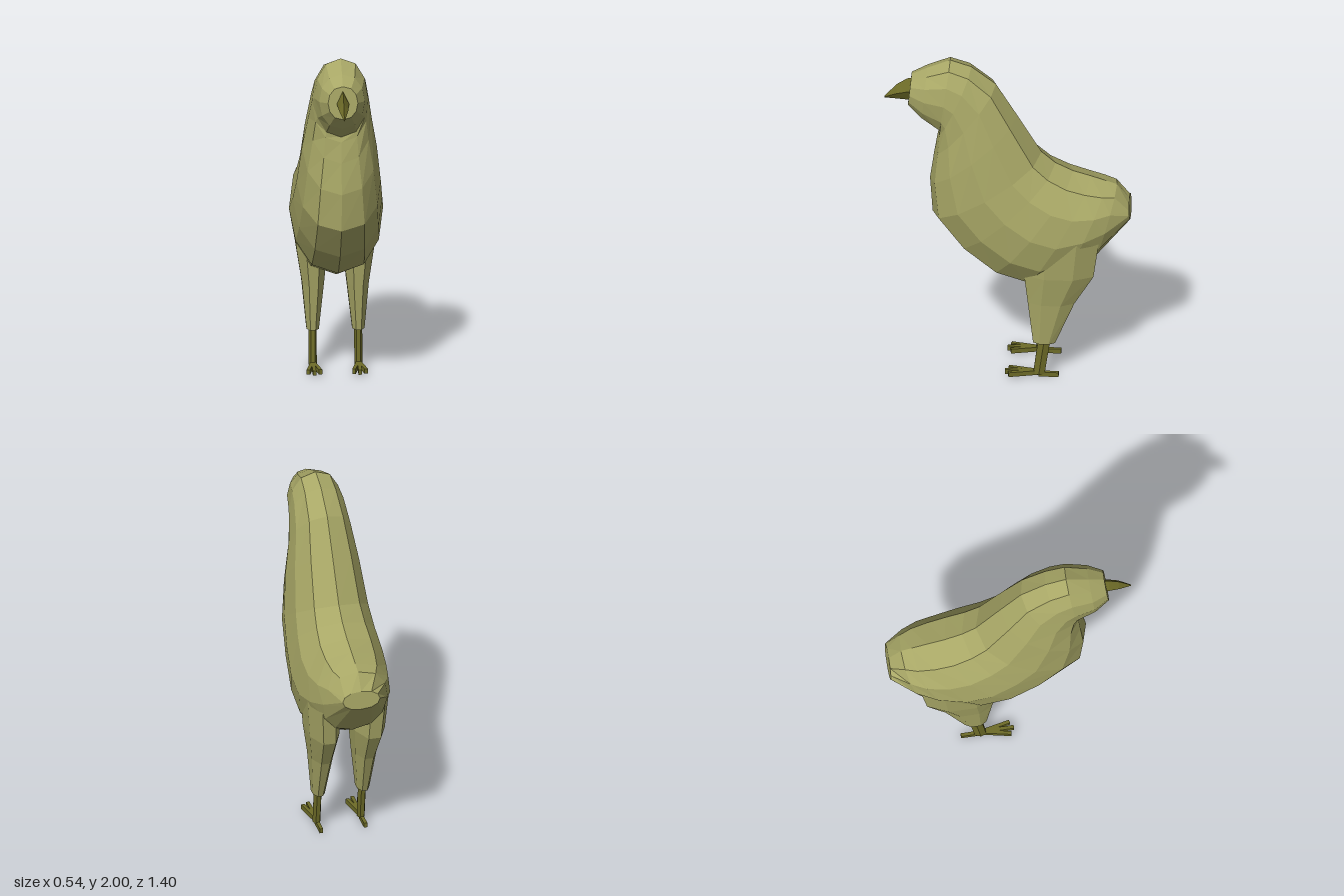
import * as THREE from 'three';

const bodyMat = new THREE.MeshStandardMaterial({ color: 0xa8a766 });
bodyMat.name = 'olive feathers';
const hornMat = new THREE.MeshStandardMaterial({ color: 0x6e6c28 });
hornMat.name = 'dark olive horn';

// Faceted skin over rings that run counterclockwise around the sweep, capped at both ends
function loft(rings) {
  const n = rings[0].length, pos = [];
  const tri = (...pts) => pts.forEach(p => pos.push(p.x, p.y, p.z));
  const centre = ring => ring.reduce((s, p) => s.add(p), new THREE.Vector3()).divideScalar(n);
  for (let i = 0; i < rings.length - 1; i++) {
    for (let k = 0; k < n; k++) {
      const j = (k + 1) % n, a = rings[i], b = rings[i + 1];
      tri(a[k], a[j], b[j]);
      tri(a[k], b[j], b[k]);
    }
  }
  const first = rings[0], last = rings[rings.length - 1];
  const c0 = centre(first), c1 = centre(last);
  for (let k = 0; k < n; k++) {
    const j = (k + 1) % n;
    tri(c0, first[j], first[k]);
    tri(c1, last[k], last[j]);
  }
  const geo = new THREE.BufferGeometry();
  geo.setAttribute('position', new THREE.Float32BufferAttribute(pos, 3));
  geo.computeVertexNormals();
  return geo;
}

function part(name, geo, mat, parent) {
  const mesh = new THREE.Mesh(geo, mat);
  mesh.name = name;
  parent.add(mesh);
  return mesh;
}

// Slanted rounded ring between a breast point and a back point
function bodyRing([fz, fy, bz, by, w]) {
  return Array.from({ length: 12 }, (_, k) => {
    const t = k / 12 * Math.PI * 2, s = Math.sin(t), m = (1 - Math.cos(t)) / 2;
    const x = w * Math.sign(s) * Math.pow(Math.abs(s), 0.85);
    return new THREE.Vector3(Math.abs(s) < 1e-6 ? 0 : x, fy + (by - fy) * m, fz + (bz - fz) * m);
  });
}

// Level ring from its x and z extents
function levelRing(y, x0, x1, z0, z1, sides) {
  return Array.from({ length: sides }, (_, k) => {
    const t = (k + 0.5) / sides * Math.PI * 2, r = 1 / Math.cos(Math.PI / sides);
    return new THREE.Vector3(
      (x0 + x1) / 2 + Math.sin(t) * r * (x1 - x0) / 2, y,
      (z0 + z1) / 2 + Math.cos(t) * r * (z1 - z0) / 2);
  });
}

// Diamond section of the beak
const beakRing = (z, lo, hi, w) => {
  const mid = (lo + hi) / 2;
  return [[w, mid], [0, hi], [-w, mid], [0, lo]].map(([x, y]) => new THREE.Vector3(x, y, z));
};

function addLeg(root, side) {
  const leg = new THREE.Group();
  leg.name = side > 0 ? 'leftLeg' : 'rightLeg';
  root.add(leg);
  const cx = 0.13 * side;
  const ring = (y, inner, outer, z0, z1, sides) => side > 0
    ? levelRing(y, inner, outer, z0, z1, sides)
    : levelRing(y, -outer, -inner, z0, z1, sides);

  // Feathered thigh
  part('thigh', loft([
    ring(0.23, 0.095, 0.165, -0.275, -0.15, 8),
    ring(0.5, 0.065, 0.19, -0.385, -0.12, 8),
    ring(0.69, 0.045, 0.22, -0.495, -0.1, 8),
    ring(0.95, 0.05, 0.24, -0.53, -0.1, 8),
  ]), bodyMat, leg);

  // Slim shank
  part('shank', loft([
    ring(0.02, 0.11, 0.15, -0.215, -0.15, 6),
    ring(0.26, 0.11, 0.15, -0.25, -0.18, 6),
  ]), hornMat, leg);

  // Three fanned front toes and one hind toe
  for (const [tipX, tipZ] of [[-0.035, -0.01], [0, 0.01], [0.035, -0.01], [0, -0.295]]) {
    const dz = tipZ + 0.18, len = Math.hypot(tipX, dz);
    const toe = part('toe', new THREE.BoxGeometry(0.02, 0.028, len), hornMat, leg);
    toe.position.set(cx + tipX / 2, dz > 0 ? 0.027 : 0.016, -0.18 + dz / 2);
    toe.rotation.y = Math.atan2(tipX, dz);
  }
}

export function createModel() {
  const root = new THREE.Group();
  root.name = 'bird';

  // Rump to face: breast z, breast y, back z, back y, half width
  const sections = [
    [-0.70, 1.01, -0.69, 1.12, 0.11],
    [-0.50, 0.77, -0.62, 1.21, 0.19],
    [-0.32, 0.67, -0.56, 1.23, 0.235],
    [-0.10, 0.58, -0.47, 1.26, 0.26],
    [0.09, 0.645, -0.37, 1.29, 0.268],
    [0.28, 0.80, -0.27, 1.34, 0.255],
    [0.43, 1.00, -0.19, 1.41, 0.24],
    [0.445, 1.22, -0.05, 1.65, 0.213],
    [0.42, 1.40, 0.07, 1.85, 0.18],
    [0.40, 1.52, 0.21, 1.96, 0.163],
    [0.39, 1.55, 0.33, 2.00, 0.152],
    [0.49, 1.63, 0.46, 1.945, 0.13],
    [0.57, 1.71, 0.55, 1.90, 0.085],
  ];
  part('body', loft(sections.map(bodyRing)), bodyMat, root);

  // Hooked beak
  part('beak', loft([
    beakRing(0.52, 1.73, 1.88, 0.035),
    beakRing(0.575, 1.73, 1.87, 0.035),
    beakRing(0.635, 1.735, 1.83, 0.026),
    beakRing(0.705, 1.74, 1.75, 0.003),
  ]), hornMat, root);

  addLeg(root, 1);
  addLeg(root, -1);
  return root;
}
